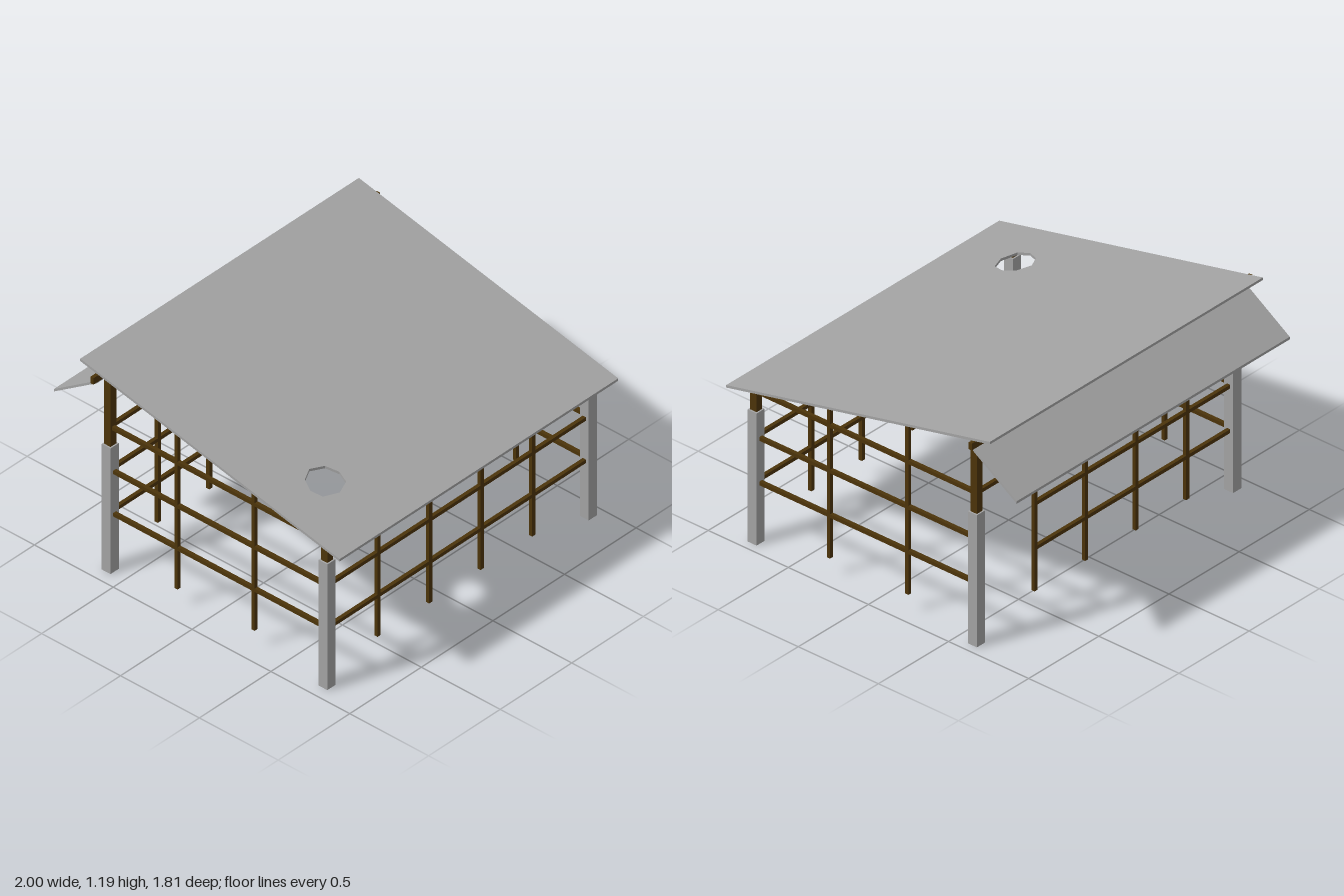
import * as THREE from 'three';

const wood = new THREE.MeshStandardMaterial({ color: 0x4c340a });
const grey = new THREE.MeshStandardMaterial({ color: 0xa3a3a3 });

// Side wall and end wall centre lines
const LEFT = 0.923, RIGHT = -0.903, FRONT = 0.768, BACK = -0.607;
const T = 0.02; // timber thickness
const RAILS = [0.335, 0.581]; // heights of the two lower rails

// Height of the roof's middle plane at depth z
const SLOPE = -0.218;
const roofY = (z) => 0.825 + SLOPE * (z - 0.91);

export function createModel() {
  const model = new THREE.Group();

  const add = (name, geometry, material) => {
    const mesh = new THREE.Mesh(geometry, material);
    mesh.name = name;
    model.add(mesh);
    return mesh;
  };

  // Box given by its extents on each axis
  const box = (name, [x0, x1], [y0, y1], [z0, z1], material = wood) => {
    add(name, new THREE.BoxGeometry(x1 - x0, y1 - y0, z1 - z0), material)
      .position.set((x0 + x1) / 2, (y0 + y1) / 2, (z0 + z1) / 2);
  };
  const around = (c, size = T) => [c - size / 2, c + size / 2];

  // Flat plate over an x/z rectangle, tilted so that y = y0 + slope * z
  const slopedPlate = (name, [x0, x1], [z0, z1], y0, slope, thick, material, hole) => {
    const shape = new THREE.Shape([[x0, -z1], [x1, -z1], [x1, -z0], [x0, -z0]]
      .map(([x, y]) => new THREE.Vector2(x, y)));
    if (hole) shape.holes.push(new THREE.Path(hole.map(([x, z]) => new THREE.Vector2(x, -z))));
    const geometry = new THREE.ExtrudeGeometry(shape, { depth: thick, bevelEnabled: false });
    geometry.rotateX(-Math.PI / 2);
    geometry.applyMatrix4(new THREE.Matrix4().set(
      1, 0, 0, 0,
      0, 1, slope, y0 - thick / 2,
      0, 0, 1, 0,
      0, 0, 0, 1));
    add(name, geometry, material);
  };

  // Corner posts: masonry pier with a timber post on top
  for (const x of [LEFT, RIGHT]) {
    for (const z of [FRONT, BACK]) {
      box('pier', around(x, 0.058), [0, 0.73], around(z, 0.056), grey);
      box('cornerPost', around(x, 0.04), [0.73, roofY(z) - 0.012], around(z, 0.04));
    }
  }

  // Side walls: rails, studs and a rafter following the roof
  for (const x of [LEFT, RIGHT]) {
    for (const y of [...RAILS, 0.832]) box('sideRail', around(x), around(y), [BACK + 0.02, FRONT - 0.02]);
    for (const z of [0.308, -0.181]) box('sideStud', around(x), [0.1, roofY(z) - 0.02], around(z));
    slopedPlate('rafter', around(x), [-0.625, 0.788], roofY(0) - 0.02, SLOPE, 0.026, wood);
  }

  // Front wall: full-width rails below the eave beam
  for (const y of RAILS) box('frontRail', [RIGHT, LEFT], around(y), around(FRONT));
  box('eaveBeam', [RIGHT, LEFT], [0.806, 0.842], around(FRONT));
  for (let i = 0; i < 4; i++) {
    box('frontStud', around(-0.55 + 0.36 * i, 0.022), [0.1, 0.83], around(FRONT));
  }

  // Back wall: the lower rails stop short to leave a doorway on the left
  for (const y of RAILS) box('backRail', [RIGHT, 0.517], around(y), around(BACK));
  box('doorHeadRail', [RIGHT, LEFT], around(0.832), around(BACK));
  for (let i = 0; i < 4; i++) {
    box('backStud', around(-0.571 + 0.36 * i, 0.022), [0.1, 1.14], around(BACK));
  }
  box('ridgeBeam', [-1, 1], [1.115, 1.152], around(-0.635));

  // Main roof with an uneven eight-sided hole
  slopedPlate('roof', [-0.966, 0.98], [-0.74, 0.905], roofY(0), SLOPE, 0.014, grey, [
    [-0.638, 0.415], [-0.563, 0.447], [-0.538, 0.515], [-0.56, 0.578],
    [-0.638, 0.608], [-0.723, 0.578], [-0.741, 0.515], [-0.708, 0.45],
  ]);

  // Awning hanging down behind the ridge
  const fall = 0.665;
  slopedPlate('backAwning', [-0.966, 0.98], [-0.908, -0.635], 1.107 + fall * 0.635, fall, 0.014, grey);

  return model;
}
